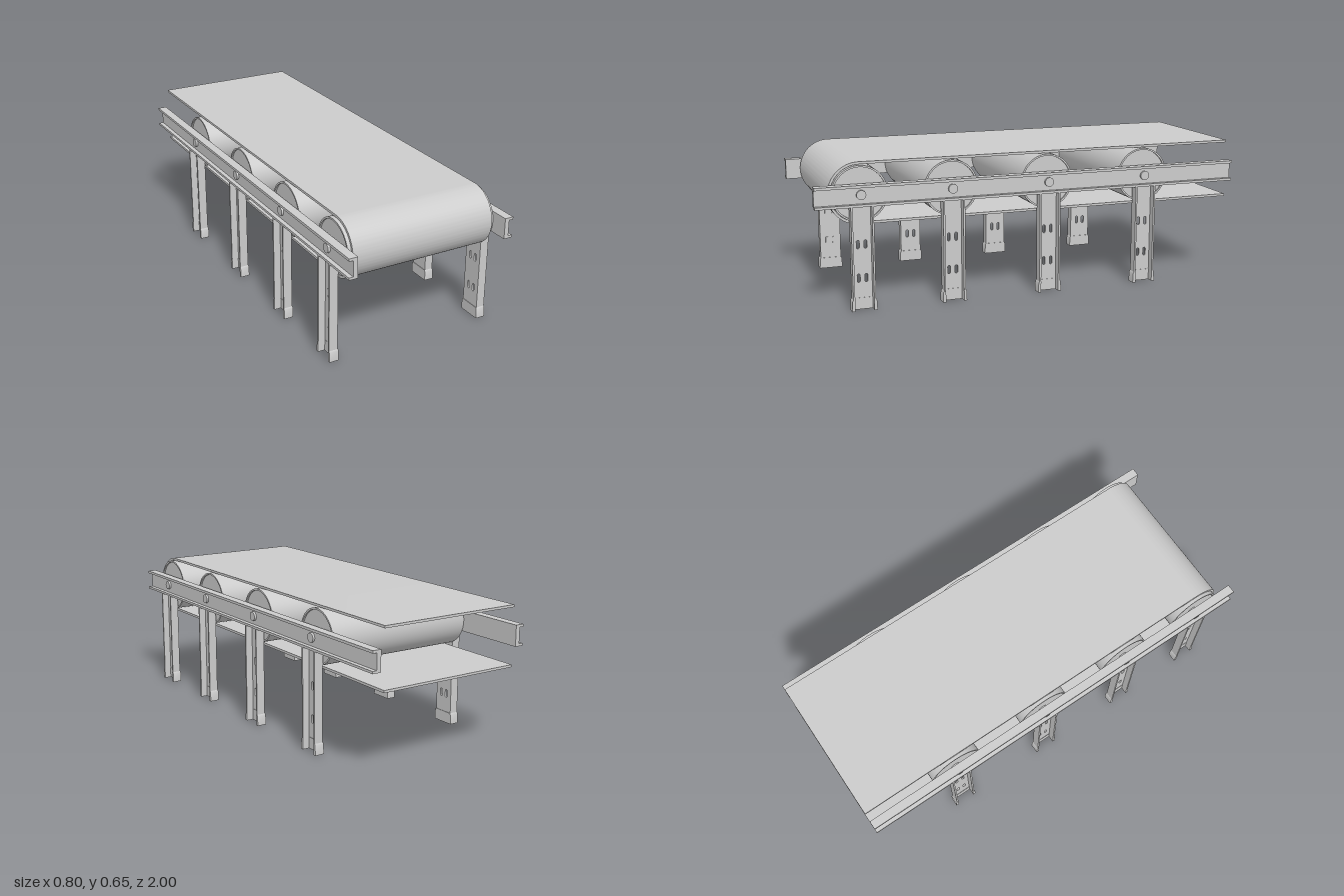
import * as THREE from 'three';
import { toCreasedNormals } from 'three/addons/utils/BufferGeometryUtils.js';

const material = new THREE.MeshStandardMaterial({ color: 0xcccccc });
const AXLE_Y = 0.51;
const STATIONS = [0.797, 0.388, -0.066, -0.545];

function add(parent, name, geometry, x = 0, y = 0, z = 0) {
  const mesh = new THREE.Mesh(geometry, material);
  mesh.name = name;
  mesh.position.set(x, y, z);
  parent.add(mesh);
  return mesh;
}

const extrude = (shape, depth, curveSegments = 12) =>
  toCreasedNormals(new THREE.ExtrudeGeometry(shape, { depth, bevelEnabled: false, curveSegments }), 0.5);

const polygon = (points) => new THREE.Shape(points.map(([x, y]) => new THREE.Vector2(x, y)));

// Rounded upright slot outline
function slot(path, x, y, r = 0.0065, h = 0.019) {
  path.moveTo(x + r, y - h + r);
  path.lineTo(x + r, y + h - r);
  path.absarc(x, y + h - r, r, 0, Math.PI, false);
  path.lineTo(x - r, y - h + r);
  path.absarc(x, y - h + r, r, Math.PI, Math.PI * 2, false);
  return path;
}
const SLOTS = [0.14, 0.29].flatMap((y) => [-0.017, 0.017].map((x) => [x, y]));

// Open-ended belt wrapped around the front roller; shape x is -z
function beltGeometry() {
  const R = 0.137, r = 0.126, c = -STATIONS[0], s = new THREE.Shape();
  s.moveTo(1, AXLE_Y + R);
  s.lineTo(c, AXLE_Y + R);
  s.absarc(c, AXLE_Y, R, Math.PI / 2, Math.PI * 1.5, false);
  s.lineTo(1, AXLE_Y - R);
  s.lineTo(1, AXLE_Y - r);
  s.lineTo(c, AXLE_Y - r);
  s.absarc(c, AXLE_Y, r, Math.PI * 1.5, Math.PI / 2, true);
  s.lineTo(1, AXLE_Y + r);
  return extrude(s, 0.684, 32).translate(0, 0, -0.342).rotateY(Math.PI / 2);
}

// Drum with a thin rim around slightly recessed ends
function rollerGeometry() {
  const profile = [[0, -0.349], [0.116, -0.349], [0.116, -0.357], [0.124, -0.357],
    [0.124, 0.357], [0.116, 0.357], [0.116, 0.349], [0, 0.349]];
  const lathe = new THREE.LatheGeometry(profile.map(([x, y]) => new THREE.Vector2(x, y)), 64);
  return toCreasedNormals(lathe, 0.5).rotateZ(Math.PI / 2);
}

// Slotted web of a leg, facing +x
function webGeometry() {
  const s = polygon([[-0.05, 0], [0.05, 0], [0.05, 0.46], [-0.05, 0.46]]);
  SLOTS.forEach(([x, y]) => s.holes.push(slot(new THREE.Path(), x, y)));
  return extrude(s, 0.008).rotateY(Math.PI / 2);
}

// Flared shoe around a leg flange; side is the sign of z
function shoeGeometry(side) {
  const s = polygon([[0.042, 0], [0.056, 0], [0.054, 0.045], [0.05, 0.052], [0.042, 0.052]]);
  const g = extrude(s, 0.044).translate(0, 0, 0.3565);
  g.rotateY(Math.PI / 2); // shape x now points to -z
  return side < 0 ? g : g.translate(-0.757, 0, 0).rotateY(Math.PI);
}

export function createModel() {
  const model = new THREE.Group();
  model.name = 'conveyor';

  add(model, 'belt', beltGeometry());

  // Rollers and their axles
  const roller = rollerGeometry();
  const axle = new THREE.CylinderGeometry(0.021, 0.021, 0.78, 32).rotateZ(Math.PI / 2);
  STATIONS.forEach((z) => {
    add(model, 'roller', roller, 0, AXLE_Y, z);
    add(model, 'axle', axle, 0, AXLE_Y, z);
  });

  // Channel rail, open to the outside
  const rail = extrude(polygon([[0.359, 0.46], [0.4, 0.46], [0.4, 0.471], [0.38, 0.471],
    [0.38, 0.543], [0.4, 0.543], [0.4, 0.555], [0.359, 0.555]]), 2).translate(0, 0, -1);
  const web = webGeometry();
  const flange = new THREE.BoxGeometry(0.041, 0.46, 0.008);
  const shoes = [shoeGeometry(1), shoeGeometry(-1)];
  const sole = new THREE.BoxGeometry(0.012, 0.052, 0.1);

  // Each side is built on +x, the other one turned half round
  [1, -1].forEach((side) => {
    const frame = new THREE.Group();
    frame.name = side > 0 ? 'leftFrame' : 'rightFrame';
    frame.rotation.y = side > 0 ? 0 : Math.PI;
    model.add(frame);
    add(frame, 'rail', rail);
    STATIONS.forEach((z, i) => {
      const leg = new THREE.Group();
      leg.name = 'leg';
      leg.position.z = z * side;
      frame.add(leg);
      add(leg, 'legWeb', web, 0.359);
      [-1, 1].forEach((s) => add(leg, 'legFlange', flange, 0.3795, 0.23, s * 0.046));
      shoes.forEach((shoe) => add(leg, 'shoe', shoe));
      add(leg, 'shoeWeb', sole, 0.3625, 0.026);
      // Plugs filling the slots of the front right leg
      if (side < 0 && i === 0) {
        SLOTS.forEach(([x, y]) => {
          const plug = extrude(slot(new THREE.Shape(), x, y), 0.012).rotateY(Math.PI / 2);
          add(leg, 'slotPlug', plug, 0.354);
        });
      }
    });
  });
  return model;
}
